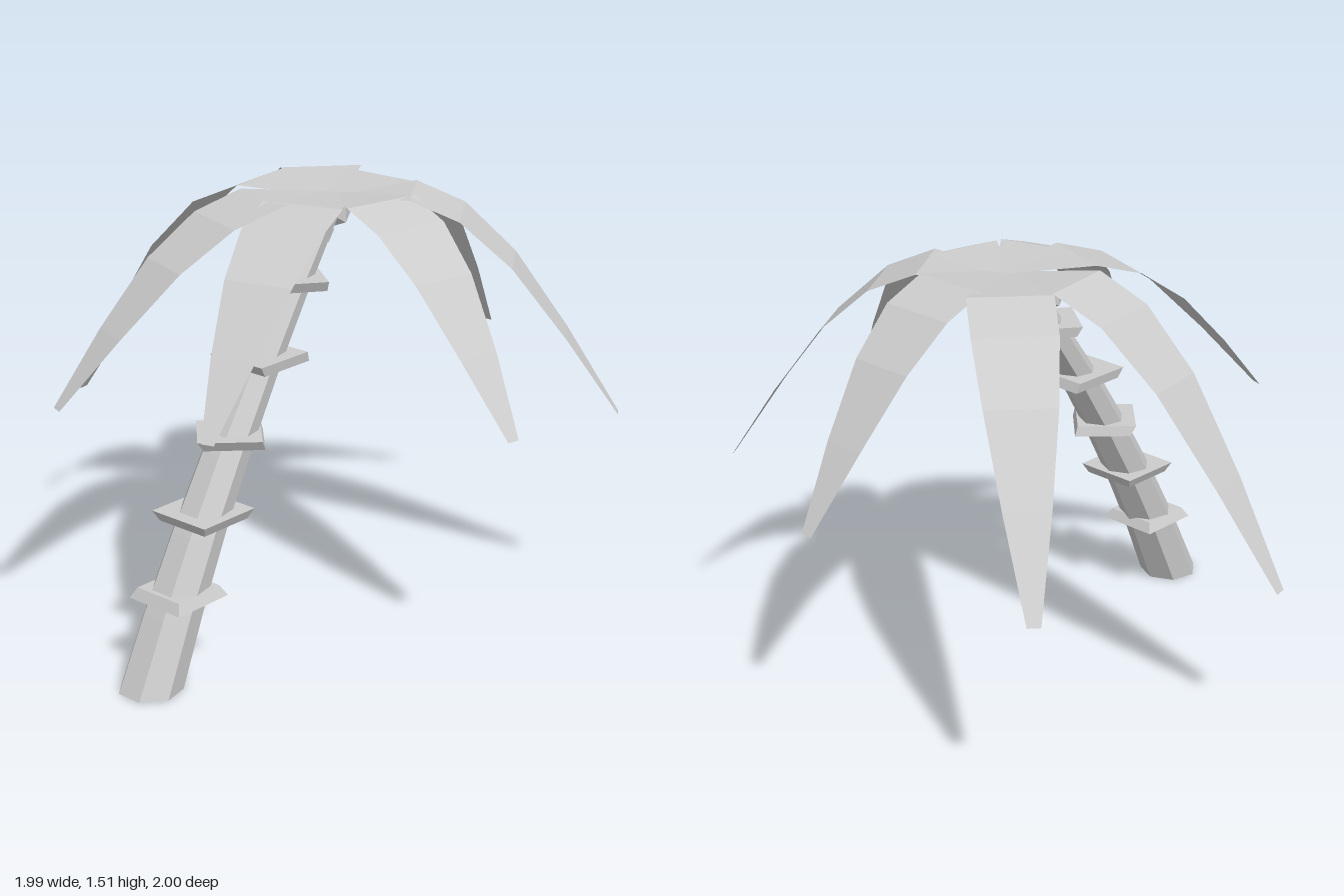
import * as THREE from 'three';

const mat = new THREE.MeshStandardMaterial({ color: 0xcccccc, flatShading: true });
const leafMat = new THREE.MeshStandardMaterial({ color: 0xcccccc, flatShading: true, side: THREE.DoubleSide });

const TOP = 1.47;
// centre line of the leaning trunk at height y
const trunkX = (y) => -0.9 + 0.46 * y + 0.11 * y * y;
const trunkZ = (y) => 0.13 - 0.02 * y;

function add(parent, name, geometry, material = mat) {
  const mesh = new THREE.Mesh(geometry, material);
  mesh.name = name;
  parent.add(mesh);
  return mesh;
}

// seven-sided tapered column, bent along the centre line
function trunkGeometry() {
  const g = new THREE.CylinderGeometry(0.06, 0.11, TOP, 7, 6, false, Math.PI / 2);
  g.translate(0, TOP / 2, 0);
  const p = g.attributes.position;
  for (let i = 0; i < p.count; i++) {
    const y = p.getY(i);
    p.setX(i, p.getX(i) + trunkX(y));
    p.setZ(i, p.getZ(i) + trunkZ(y));
  }
  g.computeVertexNormals();
  return g;
}

// along-length fraction, share of the drop, width
const FROND = [
  [0, 0.03, 0.06], [0.27, 0, 0.29], [0.44, 0.09, 0.285],
  [0.62, 0.3, 0.24], [0.81, 0.63, 0.155], [1, 1, 0.045],
];

// flat drooping leaf from the crown to its tip
function frondGeometry(crown, tip) {
  const dx = tip.x - crown.x, dz = tip.z - crown.z;
  const len = Math.hypot(dx, dz);
  const pos = [], idx = [];
  FROND.forEach(([t, drop, w], i) => {
    const x = crown.x + dx * t, z = crown.z + dz * t;
    const y = crown.y - (crown.y - tip.y) * drop;
    const sx = (-dz / len) * w / 2, sz = (dx / len) * w / 2;
    pos.push(x - sx, y, z - sz, x + sx, y, z + sz);
    if (i) {
      const a = 2 * i - 2;
      idx.push(a, a + 1, a + 2, a + 1, a + 3, a + 2);
    }
  });
  const g = new THREE.BufferGeometry();
  g.setAttribute('position', new THREE.Float32BufferAttribute(pos, 3));
  g.setIndex(idx);
  g.computeVertexNormals();
  return g;
}

export function createModel() {
  const model = new THREE.Group();
  model.name = 'palmTree';

  add(model, 'trunk', trunkGeometry());

  // four-sided bark collars: height, turn, top radius, bottom radius, slant
  const collars = [
    [0.298, Math.PI / 4, 0.135, 0.163, 0],
    [0.532, Math.PI / 4, 0.17, 0.145, 0],
    [0.77, 0, 0.152, 0.144, -0.6],
    [1.005, Math.PI / 4, 0.163, 0.155, -0.5],
    [1.237, 0.15, 0.15, 0.135, -0.3],
  ];
  for (const [y, turn, rTop, rBottom, slant] of collars) {
    const g = new THREE.CylinderGeometry(rTop, rBottom, 0.036, 4);
    g.rotateY(turn);
    g.applyMatrix4(new THREE.Matrix4().makeShear(0, 0, slant, 0, 0, 0));
    add(model, 'barkCollar', g).position.set(trunkX(y), y, trunkZ(y));
  }

  // crown of seven fronds
  const crown = new THREE.Vector3(0.07, 1.51, 0.09);
  const tips = [
    [-0.12, 0.585, -1.0], [0.835, 0.745, -0.79], [0.99, 0.82, 0.08],
    [0.615, 0.745, 0.925], [-0.1, 0.86, 0.99], [-0.86, 0.91, 0.37],
    [-0.925, 0.895, -0.25],
  ];
  const fronds = new THREE.Group();
  fronds.name = 'fronds';
  for (const tip of tips) {
    add(fronds, 'frond', frondGeometry(crown, new THREE.Vector3(...tip)), leafMat);
  }
  model.add(fronds);

  // hanging nuts around the trunk top
  for (const p of [[0.18, 1.39, 0], [-0.06, 1.4, 0], [0.03, 1.36, 0.05]]) {
    add(model, 'coconut', new THREE.IcosahedronGeometry(0.06, 0)).position.set(...p);
  }

  return model;
}
